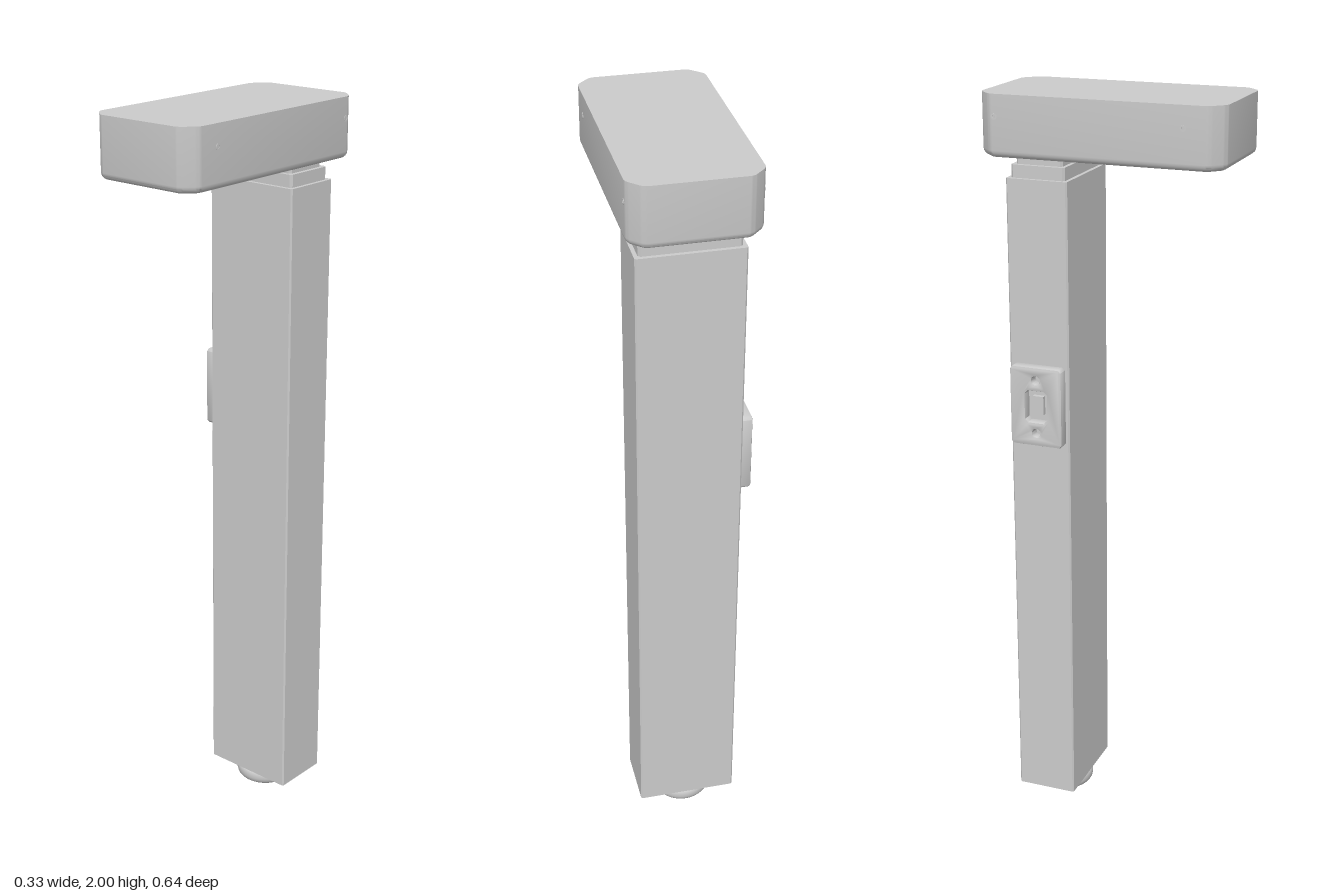
import * as THREE from 'three';
import { toCreasedNormals } from 'three/addons/utils/BufferGeometryUtils.js';

const material = new THREE.MeshStandardMaterial({ color: 0xcccccc });
const POST_Z = -0.1725;

// Rectangle whose corners are cut by c; soft rounds the ends of each cut
function cutRect(w, d, c, soft = 0) {
  const x = w / 2, y = d / 2, k = c * 0.7071;
  const pts = [[x, -y + c], [x, y - c], [x - c, y], [-x + c, y], [-x, y - c], [-x, -y + c], [-x + c, -y], [x - c, -y]]
    .map(([a, b]) => new THREE.Vector2(a, b));
  const shape = new THREE.Shape();
  const t = Math.min(soft, k * 0.6);
  pts.forEach((p, i) => {
    const prev = pts[(i + 7) % 8], next = pts[(i + 1) % 8];
    const a = p.clone().add(prev.clone().sub(p).setLength(t));
    const b = p.clone().add(next.clone().sub(p).setLength(t));
    if (i === 0) shape.moveTo(a.x, a.y); else shape.lineTo(a.x, a.y);
    if (t > 0) shape.quadraticCurveTo(p.x, p.y, b.x, b.y);
  });
  shape.closePath();
  return shape;
}

function circleHole(shape, x, y, r) {
  shape.holes.push(new THREE.Path().absarc(x, y, r, 0, Math.PI * 2, true));
}

// Upright extrusion from y0 to y1, optionally with rounded ends
function upright(shape, y0, y1, bevel = 0) {
  const geo = new THREE.ExtrudeGeometry(shape, {
    depth: y1 - y0 - 2 * bevel, curveSegments: 5, bevelEnabled: bevel > 0,
    bevelSize: bevel, bevelThickness: bevel, bevelOffset: -bevel, bevelSegments: 5,
  });
  geo.rotateX(-Math.PI / 2);
  geo.translate(0, y0 + bevel, 0);
  return geo;
}

export function createModel() {
  const model = new THREE.Group();
  const add = (name, geo, x = 0, y = 0, z = 0, parent = model) => {
    const mesh = new THREE.Mesh(toCreasedNormals(geo, 0.6), material);
    mesh.name = name;
    mesh.position.set(x, y, z);
    parent.add(mesh);
    return mesh;
  };

  // Head: rounded lower edge, flat sharp top
  const headTop = 2, round = 0.018;
  const headGeo = upright(cutRect(0.324, 0.64, 0.037, 0.012), 1.843, headTop + round, round);
  const pos = headGeo.attributes.position;
  for (let i = 0; i < pos.count; i++) pos.setY(i, Math.min(pos.getY(i), headTop));
  add('head', headGeo);

  // Small socket screws on both sides of the head
  for (const side of [-1, 1]) for (const z of [0.22, -0.27]) {
    const profile = [[0, 0], [0.004, 0], [0.004, 0.001], [0.008, 0.001], [0.008, -0.001]]
      .map(([r, h]) => new THREE.Vector2(r, h)).reverse();
    const screw = new THREE.LatheGeometry(profile, 16).rotateZ(-side * Math.PI / 2);
    add('headScrew', screw, side * 0.162, 1.945, z);
  }

  // Stepped neck and long column
  add('neckUpper', upright(cutRect(0.228, 0.125, 0.006), 1.815, 1.85), 0, 0, POST_Z);
  add('neckLower', upright(cutRect(0.25, 0.145, 0.006), 1.785, 1.823), 0, 0, POST_Z);
  add('column', upright(cutRect(0.27, 0.165, 0.004), 0.075, 1.79), 0, 0, POST_Z);

  // Column end with four corner holes
  const endShape = cutRect(0.27, 0.165, 0.004);
  for (const sx of [-1, 1]) for (const sz of [-1, 1]) circleHole(endShape, sx * 0.105, sz * 0.055, 0.015);
  add('columnEnd', upright(endShape, 0.045, 0.075), 0, 0, POST_Z);

  // Round foot with soft rim and hexagonal socket
  const foot = new THREE.Group();
  foot.name = 'foot';
  foot.position.z = POST_Z;
  model.add(foot);
  const footProfile = [[0.05, 0.004], [0.052, 0.001], [0.06, 0], [0.068, 0.002], [0.075, 0.007], [0.08, 0.014], [0.082, 0.022], [0.082, 0.036], [0.079, 0.041], [0.075, 0.046]]
    .map(([r, y]) => new THREE.Vector2(r, y));
  add('footRim', new THREE.LatheGeometry(footProfile, 48), 0, 0, 0, foot);
  const disc = new THREE.Shape().absarc(0, 0, 0.05, 0, Math.PI * 2);
  const hex = new THREE.Path();
  for (let i = 0; i < 6; i++) {
    const a = -i * Math.PI / 3;
    hex[i ? 'lineTo' : 'moveTo'](0.034 * Math.cos(a), 0.034 * Math.sin(a));
  }
  hex.closePath();
  disc.holes.push(hex);
  add('footSocket', new THREE.ExtrudeGeometry(disc, { depth: 0.018, bevelEnabled: false, curveSegments: 24 })
    .rotateX(-Math.PI / 2), 0, 0.004, 0, foot);
  add('socketFloor', new THREE.CylinderGeometry(0.05, 0.05, 0.02, 24), 0, 0.032, 0, foot);

  // Side plate with a slot and two screw holes
  const plateShape = cutRect(0.145, 0.215, 0.008, 0.004);
  const slot = cutRect(0.06, 0.085, 0.008);
  plateShape.holes.push(new THREE.Path(slot.getPoints().reverse()));
  for (const s of [-1, 1]) circleHole(plateShape, 0, s * 0.072, 0.011);
  const bevel = 0.006;
  const plateGeo = new THREE.ExtrudeGeometry(plateShape, {
    depth: 0.024, bevelSize: bevel, bevelThickness: bevel, bevelOffset: -bevel, bevelSegments: 2, curveSegments: 8,
  });
  plateGeo.rotateY(-Math.PI / 2);
  add('sidePlate', plateGeo, -0.133, 1.2025, POST_Z);
  add('plateInsert', new THREE.BoxGeometry(0.012, 0.05, 0.03), -0.141, 1.2025, POST_Z);

  return model;
}
